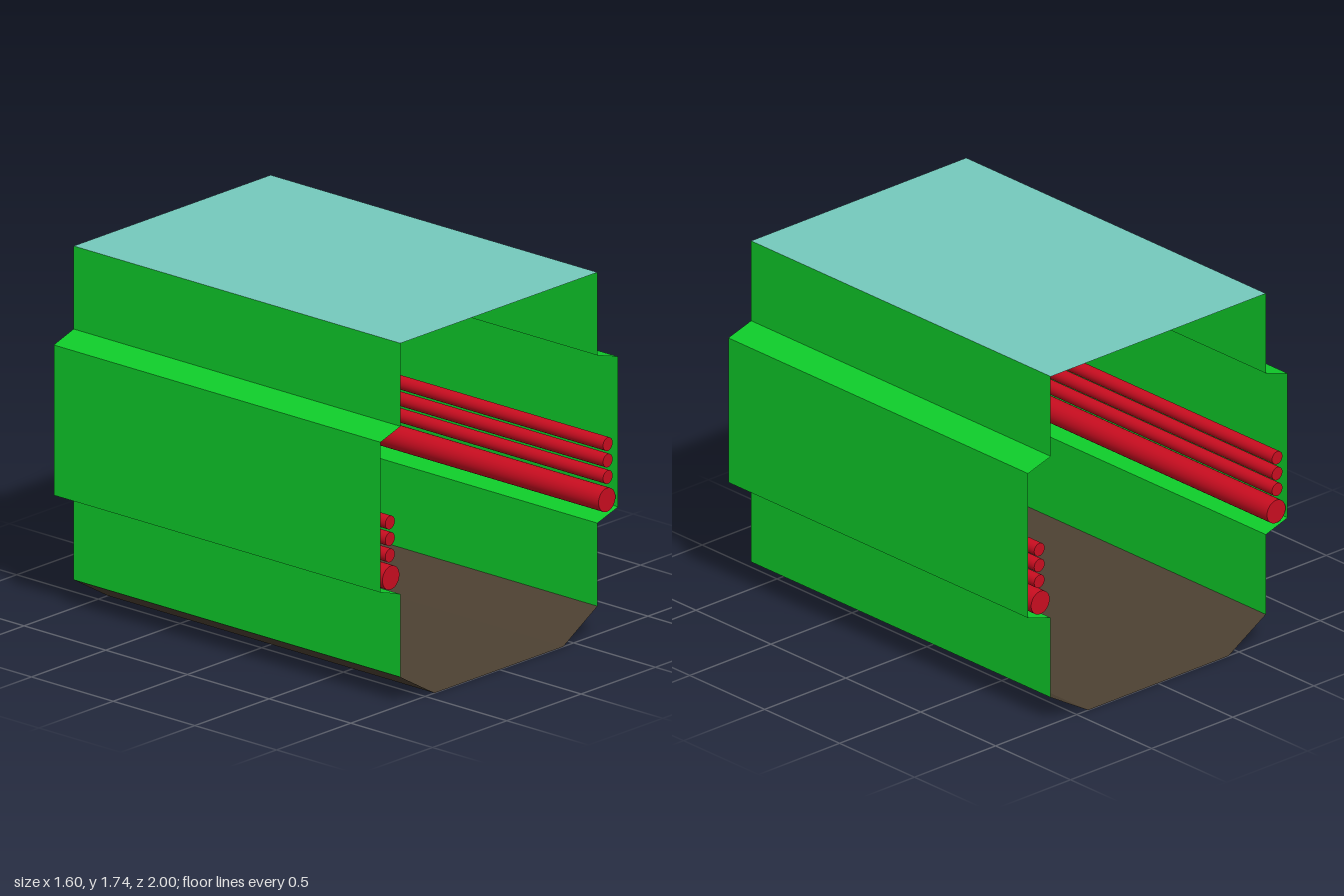
import * as THREE from 'three';

const HALF = 1; // half of the tunnel length along z
const OFF = -0.003; // slight sideways offset of the inner lines

const material = (color, extra = {}) => new THREE.MeshStandardMaterial({ color, ...extra });

// Thin open sheet: an [x, y] line swept along z, one flat strip per segment
function sheet(name, line, mat) {
  const pos = [];
  for (let i = 0; i < line.length - 1; i++) {
    const [ax, ay] = line[i];
    const [bx, by] = line[i + 1];
    pos.push(ax, ay, HALF, bx, by, HALF, bx, by, -HALF);
    pos.push(ax, ay, HALF, bx, by, -HALF, ax, ay, -HALF);
  }
  const geo = new THREE.BufferGeometry();
  geo.setAttribute('position', new THREE.Float32BufferAttribute(pos, 3));
  geo.computeVertexNormals();
  const mesh = new THREE.Mesh(geo, mat);
  mesh.name = name;
  return mesh;
}

export function createModel() {
  const model = new THREE.Group();
  model.name = 'tunnel';

  const shell = { side: THREE.DoubleSide, flatShading: true };
  const green = material(0x0fcc2a, shell);
  const teal = material(0x75c9bc, shell);
  const brown = material(0x4d4132, shell);
  const red = material(0xc90d20);

  const inner = 0.663;
  const outer = 0.8;

  // Flat roof and chamfered floor, both wound to face outwards
  model.add(sheet('roof', [[inner + OFF, 1.735], [-inner + OFF, 1.735]], teal));
  model.add(sheet('floor', [
    [-inner + OFF, 0.135], [-0.433 + OFF, 0], [0.433 + OFF, 0], [inner + OFF, 0.135],
  ], brown));

  // Side wall profile with an outward channel, listed from bottom to top
  const wall = [
    [inner, 0.135], [inner, 0.533], [outer, 0.575],
    [outer, 1.295], [inner, 1.337], [inner, 1.735],
  ];

  // Pipes in each channel: x, y, radius
  const pipes = [
    [0.727, 0.628, 0.057],
    [0.733, 0.736, 0.032],
    [0.733, 0.815, 0.032],
    [0.733, 0.894, 0.032],
  ];

  for (const [side, label] of [[1, 'left'], [-1, 'right']]) {
    const line = wall.map(([x, y]) => [side * x + (x === outer ? 0 : OFF), y]);
    if (side < 0) line.reverse();
    model.add(sheet(label + 'Wall', line, green));

    const bundle = new THREE.Group();
    bundle.name = label + 'Pipes';
    pipes.forEach(([x, y, r], i) => {
      const geo = new THREE.CylinderGeometry(r, r, 2 * HALF, 32);
      geo.rotateX(Math.PI / 2);
      const pipe = new THREE.Mesh(geo, red);
      pipe.position.set(side * x + OFF, y, 0);
      pipe.name = i === 0 ? 'largePipe' : 'smallPipe' + i;
      bundle.add(pipe);
    });
    model.add(bundle);
  }

  return model;
}
